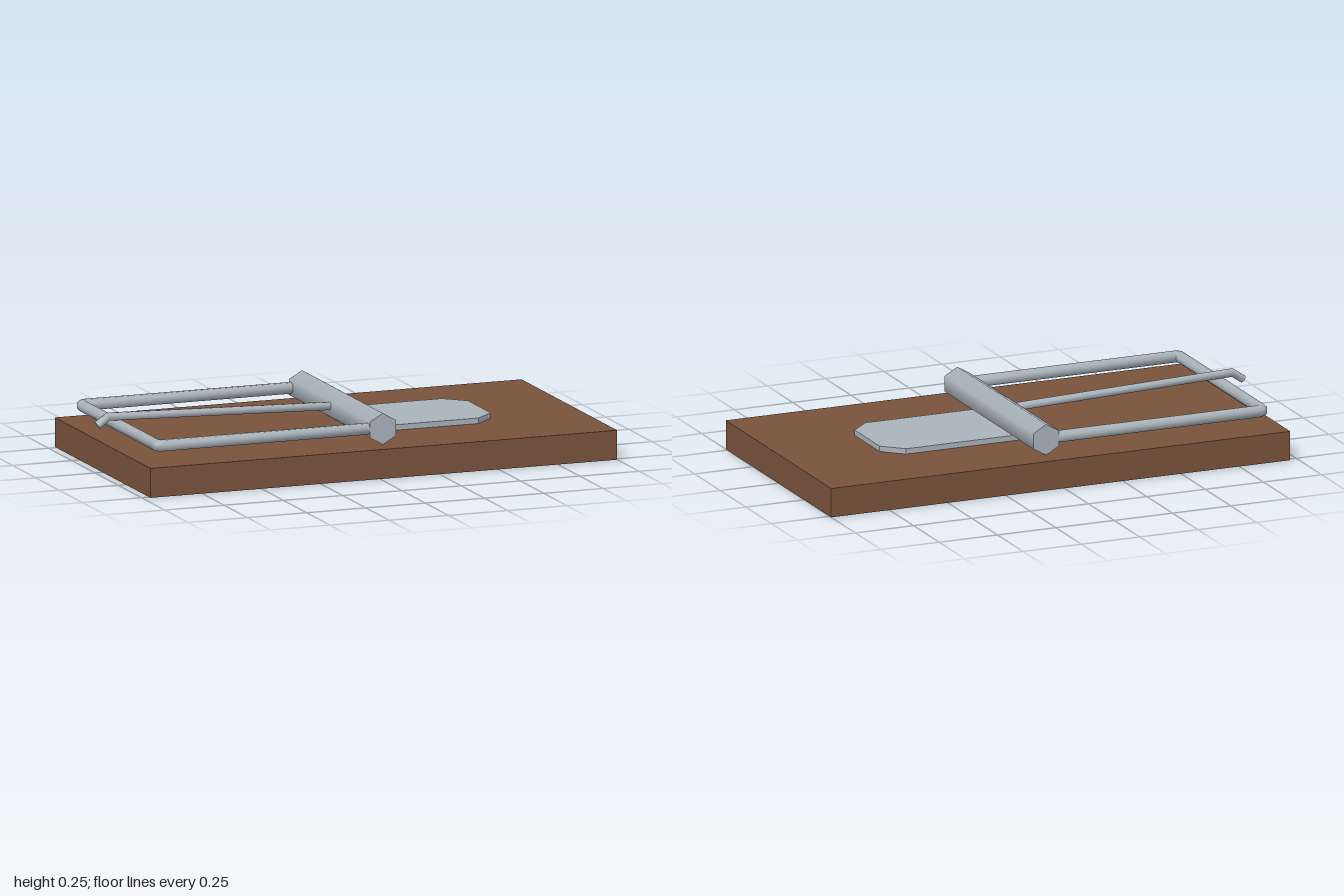
import * as THREE from 'three';

const V = (x, y, z) => new THREE.Vector3(x, y, z);

// Wire with mitred bends along a planar path; w is the normal of the path's plane
function wireGeometry(path, w, radius, sides = 8) {
  const pos = [], index = [];
  const last = path.length - 1;
  const dir = (i) => path[i + 1].clone().sub(path[i]).normalize();
  const addRing = (i) => {
    const before = dir(Math.max(i - 1, 0));
    const after = dir(Math.min(i, last - 1));
    const t = before.clone().add(after).normalize();
    const b = t.clone().cross(w).divideScalar(t.dot(after));
    for (let j = 0; j < sides; j++) {
      const a = ((j + 0.5) / sides) * Math.PI * 2;
      const p = path[i].clone()
        .addScaledVector(w, radius * Math.cos(a))
        .addScaledVector(b, radius * Math.sin(a));
      pos.push(p.x, p.y, p.z);
    }
  };
  for (let i = 0; i <= last; i++) addRing(i);
  for (let i = 0; i < last; i++) {
    for (let j = 0; j < sides; j++) {
      const a = i * sides + j, b = i * sides + (j + 1) % sides;
      index.push(a, b, a + sides, b, b + sides, a + sides);
    }
  }
  // flat end caps with their own vertices
  for (const end of [0, last]) {
    const s = pos.length / 3;
    addRing(end);
    for (let j = 1; j < sides - 1; j++) {
      if (end) index.push(s, s + j, s + j + 1);
      else index.push(s, s + j + 1, s + j);
    }
  }
  const g = new THREE.BufferGeometry();
  g.setAttribute('position', new THREE.Float32BufferAttribute(pos, 3));
  g.setIndex(index);
  g.computeVertexNormals();
  return g;
}

export function createModel() {
  const group = new THREE.Group();
  const wood = new THREE.MeshStandardMaterial({ color: 0x79523b });
  const metal = new THREE.MeshStandardMaterial({ color: 0xa9b2ba });
  const add = (name, geometry, material) => {
    const mesh = new THREE.Mesh(geometry, material);
    mesh.name = name;
    group.add(mesh);
    return mesh;
  };

  // wooden board
  add('base', new THREE.BoxGeometry(1.968, 0.118, 1.03), wood).position.set(0.016, 0.059, 0);

  // six-sided bar across the middle, one edge upwards
  const bar = new THREE.CylinderGeometry(0.063, 0.063, 0.87, 6).rotateX(Math.PI / 2);
  add('springBar', bar, metal).position.set(0.043, 0.182, 0);

  // trigger plate with cut corners
  const outline = new THREE.Shape([
    [0.043, -0.197], [0.54, -0.197], [0.62, -0.122],
    [0.62, 0.122], [0.54, 0.197], [0.043, 0.197],
  ].map(([x, y]) => new THREE.Vector2(x, y)));
  const plate = new THREE.ExtrudeGeometry(outline, { depth: 0.024, bevelEnabled: false });
  add('triggerPlate', plate.rotateX(-Math.PI / 2), metal).position.y = 0.116;

  // U-shaped snap frame
  const y = 0.183;
  const frame = [
    V(0.03, y, -0.413), V(-0.878, y, -0.413), V(-0.892, y, -0.407), V(-0.898, y, -0.393),
    V(-0.898, y, 0.393), V(-0.892, y, 0.407), V(-0.878, y, 0.413), V(0.03, y, 0.413),
  ];
  add('snapFrame', wireGeometry(frame, V(0, 1, 0), 0.0235), metal);

  // holding rod with a bent tip
  const rod = [V(0.03, 0.191, 0), V(-0.945, 0.222, 0), V(-0.991, 0.19, 0)];
  add('holdingRod', wireGeometry(rod, V(0, 0, 1), 0.0165), metal);

  return group;
}
